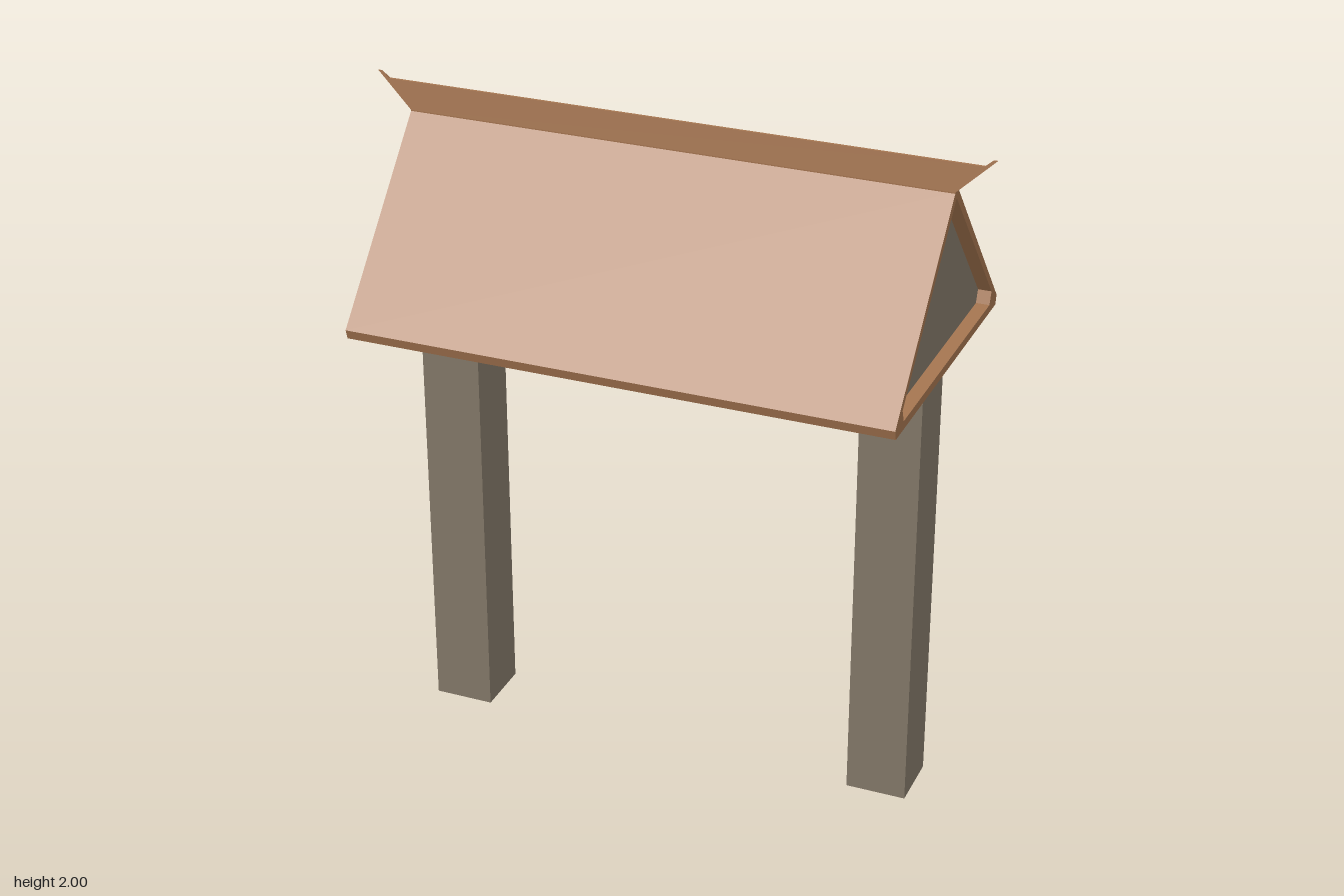
import * as THREE from 'three';

const wood = new THREE.MeshStandardMaterial({ color: 0xa57550 });
wood.name = 'roofBrown';
const stone = new THREE.MeshStandardMaterial({ color: 0x847969 });
stone.name = 'postGrey';

// Roof cross-sections as half profiles (z, y), mirrored into closed outlines
const OUTER = [[0.453, 1.375], [0.461, 1.403], [0.013, 1.9]];
const INNER = [[0.39, 1.4], [0.404, 1.437], [0.003, 1.876]];

function mirrored(half) {
  const other = half.map(([z, y]) => [-z, y]).reverse();
  return [...half, ...other].map(([z, y]) => new THREE.Vector2(z, y));
}

// Extrude a cross-section along x, centred
function alongX(shape, length) {
  return new THREE.ExtrudeGeometry(shape, { depth: length, bevelEnabled: false })
    .translate(0, 0, -length / 2)
    .rotateY(Math.PI / 2);
}

function add(group, name, geometry, material) {
  const mesh = new THREE.Mesh(geometry, material);
  mesh.name = name;
  group.add(mesh);
  return mesh;
}

// Ridge fin: upswept ends, thinning to an edge at the top
function ridgeGeometry() {
  const half = [[0.805, 1.895], [0.805, 1.9], [0.912, 2.0], [0.9, 2.0], [0.878, 1.98]];
  const geometry = new THREE.ExtrudeGeometry(new THREE.Shape(mirrored(half)), { depth: 1, bevelEnabled: false });
  const p = geometry.attributes.position;
  for (let i = 0; i < p.count; i++) {
    const thickness = 0.001 + 0.015 * Math.min(1, (2 - p.getY(i)) / 0.1);
    p.setZ(i, (p.getZ(i) * 2 - 1) * thickness);
  }
  geometry.computeVertexNormals();
  return geometry;
}

export function createModel() {
  const model = new THREE.Group();
  model.name = 'roofedGate';

  // Roof shell, open at the gables
  const shell = new THREE.Shape(mirrored(OUTER));
  shell.holes.push(new THREE.Path(mirrored(INNER)));
  add(model, 'roof', alongX(shell, 1.61), wood);
  add(model, 'ridge', ridgeGeometry(), wood);

  // Recessed gable infill
  add(model, 'gableInfill', alongX(new THREE.Shape(mirrored(INNER)), 1.53), stone);

  // Square posts
  for (const [name, side] of [['leftPost', 1], ['rightPost', -1]]) {
    const post = add(model, name, new THREE.BoxGeometry(0.18, 1.38, 0.18), stone);
    post.position.set(side * 0.675, 0.69, 0);
  }
  return model;
}
